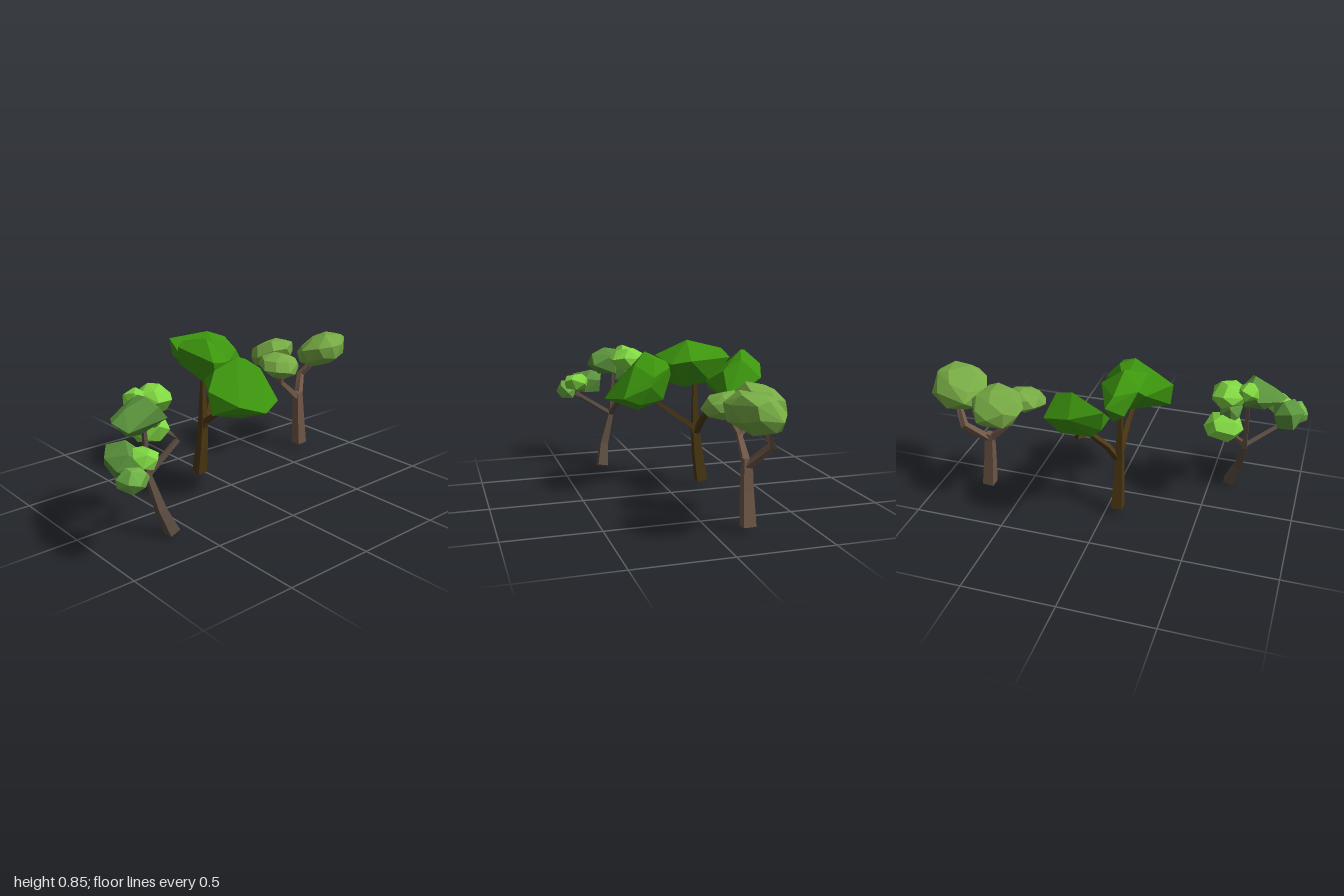
import * as THREE from 'three';
import { ConvexGeometry } from 'three/addons/geometries/ConvexGeometry.js';

const V = (p) => new THREE.Vector3(...p);
const material = (color) => new THREE.MeshStandardMaterial({ color, flatShading: true });

function seeded(seed) {
  let s = seed * 7919 + 17;
  return () => ((s = (s * 16807) % 2147483647) / 2147483647);
}

// Tapered square limb; each path entry is [x, y, z, half width]
function limb(name, mat, path) {
  const pts = path.map((p) => V(p.slice(0, 3)));
  const last = pts.length - 1, pos = [], index = [];
  const up = new THREE.Vector3(0, 1, 0), q = new THREE.Quaternion();
  pts.forEach((p, i) => {
    const dir = pts[Math.min(i + 1, last)].clone().sub(pts[Math.max(i - 1, 0)]).normalize();
    q.setFromUnitVectors(up, dir);
    for (let k = 0; k < 4; k++) {
      const a = (k + 0.5) * Math.PI / 2, r = path[i][3] * Math.SQRT2;
      pos.push(...new THREE.Vector3(Math.sin(a) * r, 0, Math.cos(a) * r).applyQuaternion(q).add(p).toArray());
    }
  });
  for (let i = 0; i < last; i++) {
    for (let k = 0; k < 4; k++) {
      const a = i * 4 + k, b = i * 4 + ((k + 1) % 4);
      index.push(a, b, b + 4, a, b + 4, a + 4);
    }
  }
  // end caps
  const top = last * 4;
  index.push(0, 2, 1, 0, 3, 2, top, top + 1, top + 2, top, top + 2, top + 3);
  const geo = new THREE.BufferGeometry();
  geo.setAttribute('position', new THREE.Float32BufferAttribute(pos, 3));
  geo.setIndex(index);
  geo.computeVertexNormals();
  const mesh = new THREE.Mesh(geo, mat);
  mesh.name = name;
  return mesh;
}

// Faceted leaf clump hulled from explicit corners
function hull(name, mat, corners) {
  const mesh = new THREE.Mesh(new ConvexGeometry(corners.map(V)), mat);
  mesh.name = name;
  return mesh;
}

// Irregular faceted leaf clump of n corners between two box corners, rising along lean [x, z]
function clump(name, mat, n, seed, min, max, lean = [0, 0]) {
  const rnd = seeded(seed), pts = [], turn = rnd() * 6;
  for (let i = 0; i < n; i++) {
    const y = 1 - (2 * (i + 0.5)) / n, r = Math.sqrt(1 - y * y);
    const a = i * 2.39996 + turn + (rnd() - 0.5) * 0.5;
    pts.push(new THREE.Vector3(r * Math.cos(a), y + (rnd() - 0.5) * 0.2, r * Math.sin(a)));
  }
  const tilt = new THREE.Euler(rnd() * 1.2, 0, rnd() * 1.2);
  pts.forEach((p) => {
    p.applyEuler(tilt);
    p.y += lean[0] * p.x + lean[1] * p.z;
  });
  const box = new THREE.Box3().setFromPoints(pts);
  const size = box.getSize(new THREE.Vector3());
  const lo = V(min), span = V(max).sub(lo);
  pts.forEach((p) => p.sub(box.min).divide(size).multiply(span).add(lo));
  return hull(name, mat, pts.map((p) => p.toArray()));
}

function tree(name, ...parts) {
  const g = new THREE.Group();
  g.name = name;
  g.add(...parts);
  return g;
}

function frontTree() {
  const bark = material(0x5a4b40), light = material(0x80d642), mid = material(0x5a923c), soft = material(0x70b446);
  return tree('frontTree',
    limb('trunk', bark, [[0.261, 0.012, 0.608, 0.03], [0.238, 0.14, 0.658, 0.023], [0.183, 0.32, 0.69, 0.014]]),
    limb('middleBranch', bark, [[0.183, 0.3, 0.69, 0.013], [0.172, 0.45, 0.69, 0.011], [0.16, 0.63, 0.69, 0.008]]),
    limb('leftBranch', bark, [[0.183, 0.32, 0.69, 0.012], [0.34, 0.41, 0.88, 0.01], [0.37, 0.45, 0.89, 0.008]]),
    limb('leftTwig', bark, [[0.33, 0.405, 0.87, 0.009], [0.4, 0.43, 0.9, 0.007]]),
    limb('backBranch', bark, [[0.183, 0.32, 0.69, 0.012], [0.172, 0.45, 0.5, 0.011], [0.13, 0.475, 0.51, 0.009], [0.07, 0.51, 0.57, 0.007]]),
    clump('lowBackLeaves', light, 18, 3, [-0.045, 0.425, 0.48], [0.145, 0.58, 0.69]),
    clump('innerLeaves', mid, 12, 4, [0.02, 0.51, 0.55], [0.17, 0.64, 0.67]),
    clump('highBackLeaves', light, 18, 5, [-0.01, 0.6, 0.505], [0.2, 0.74, 0.68]),
    clump('highSmallLeaves', light, 13, 6, [0.04, 0.64, 0.63], [0.155, 0.75, 0.75]),
    hull('crownLeaves', mid, [
      [0.07, 0.655, 0.75], [0.12, 0.72, 0.7], [0.215, 0.735, 0.71], [0.295, 0.7, 0.69], [0.292, 0.635, 0.64],
      [0.292, 0.61, 0.86], [0.2, 0.64, 0.89], [0.14, 0.64, 0.86], [0.11, 0.6, 0.78], [0.15, 0.575, 0.67], [0.24, 0.565, 0.76],
      [0.2, 0.69, 0.82], [0.17, 0.69, 0.65], [0.25, 0.575, 0.84],
    ]),
    clump('frontLeaves', mid, 13, 8, [0.19, 0.43, 0.81], [0.4, 0.575, 0.985]),
    clump('leftLeaves', light, 16, 9, [0.28, 0.45, 0.765], [0.445, 0.555, 0.91]),
    clump('leftTipLeaves', soft, 15, 10, [0.345, 0.385, 0.84], [0.48, 0.5, 1.0]),
  );
}

function middleTree() {
  const bark = material(0x4c3813), leaf = material(0x3d960e);
  return tree('middleTree',
    limb('trunk', bark, [[-0.2, 0.035, 0.07, 0.03], [-0.178, 0.2, 0.07, 0.025], [-0.165, 0.33, 0.07, 0.02], [-0.158, 0.63, 0.07, 0.009]]),
    limb('leftBranch', bark, [[-0.165, 0.31, 0.07, 0.016], [-0.14, 0.36, 0.07, 0.014], [0.0, 0.46, 0.07, 0.011], [0.09, 0.53, 0.08, 0.009]]),
    limb('rightBranch', bark, [[-0.165, 0.32, 0.065, 0.016], [-0.19, 0.41, 0.01, 0.014], [-0.25, 0.515, -0.07, 0.012],
      [-0.36, 0.55, -0.1, 0.01], [-0.38, 0.62, -0.09, 0.009]]),
    limb('rightTwig', bark, [[-0.245, 0.51, -0.07, 0.012], [-0.285, 0.58, -0.1, 0.009]]),
    hull('rightLeaves', leaf, [
      [-0.48, 0.72, -0.1], [-0.457, 0.775, 0.075], [-0.355, 0.805, -0.12], [-0.32, 0.765, -0.22], [-0.22, 0.71, -0.22],
      [-0.22, 0.565, -0.305], [-0.165, 0.64, -0.1], [-0.34, 0.68, 0.07], [-0.42, 0.605, 0], [-0.42, 0.67, -0.255],
      [-0.31, 0.545, -0.07], [-0.36, 0.56, -0.19], [-0.25, 0.55, -0.24], [-0.2, 0.59, -0.03], [-0.45, 0.67, 0.06],
    ]),
    hull('crownLeaves', leaf, [
      [-0.36, 0.74, 0.05], [-0.32, 0.79, 0.08], [-0.1, 0.74, -0.05], [0, 0.72, 0], [0.045, 0.755, 0.16],
      [-0.23, 0.79, 0.185], [-0.115, 0.843, 0.08], [0, 0.61, 0.1], [-0.1, 0.58, 0.08], [-0.29, 0.67, 0.13], [-0.25, 0.605, 0.06],
    ]),
    hull('leftLeaves', leaf, [
      [0.13, 0.79, 0.07], [0.21, 0.73, -0.02], [0.357, 0.54, 0.07], [0.285, 0.58, 0.19], [0.15, 0.65, 0.28], [0.16, 0.52, 0.265],
      [-0.03, 0.71, 0.05], [-0.02, 0.65, 0.17], [0.14, 0.62, -0.1], [0.285, 0.56, -0.08], [0.17, 0.465, 0.07], [0.03, 0.52, 0.05],
      [0.1, 0.735, 0.2], [0.1, 0.76, -0.01], [0.12, 0.67, -0.09], [0.19, 0.52, -0.07],
    ]),
  );
}

function backTree() {
  const bark = material(0x705848), leaf = material(0x78ac45);
  return tree('backTree',
    limb('trunk', bark, [[-0.172, 0.025, -0.71, 0.032], [-0.17, 0.2, -0.695, 0.026], [-0.17, 0.36, -0.685, 0.021]]),
    limb('backBranch', bark, [[-0.17, 0.32, -0.69, 0.018], [-0.255, 0.44, -0.79, 0.017], [-0.18, 0.55, -0.86, 0.012]]),
    limb('frontBranch', bark, [[-0.17, 0.33, -0.68, 0.018], [-0.18, 0.45, -0.55, 0.012], [-0.135, 0.55, -0.5, 0.008]]),
    limb('frontTwig', bark, [[-0.18, 0.44, -0.56, 0.011], [-0.24, 0.5, -0.54, 0.009], [-0.27, 0.58, -0.56, 0.007]]),
    clump('backLeaves', leaf, 26, 21, [-0.27, 0.5, -1.0], [0.0, 0.72, -0.69], [0.35, -0.15]),
    clump('rightLeaves', leaf, 26, 22, [-0.405, 0.52, -0.71], [-0.16, 0.705, -0.43], [0.5, 0]),
    clump('leftLeaves', leaf, 26, 23, [-0.24, 0.52, -0.61], [-0.01, 0.655, -0.36], [-0.25, 0]),
  );
}

export function createModel() {
  const model = new THREE.Group();
  model.name = 'trees';
  model.add(frontTree(), middleTree(), backTree());
  return model;
}
